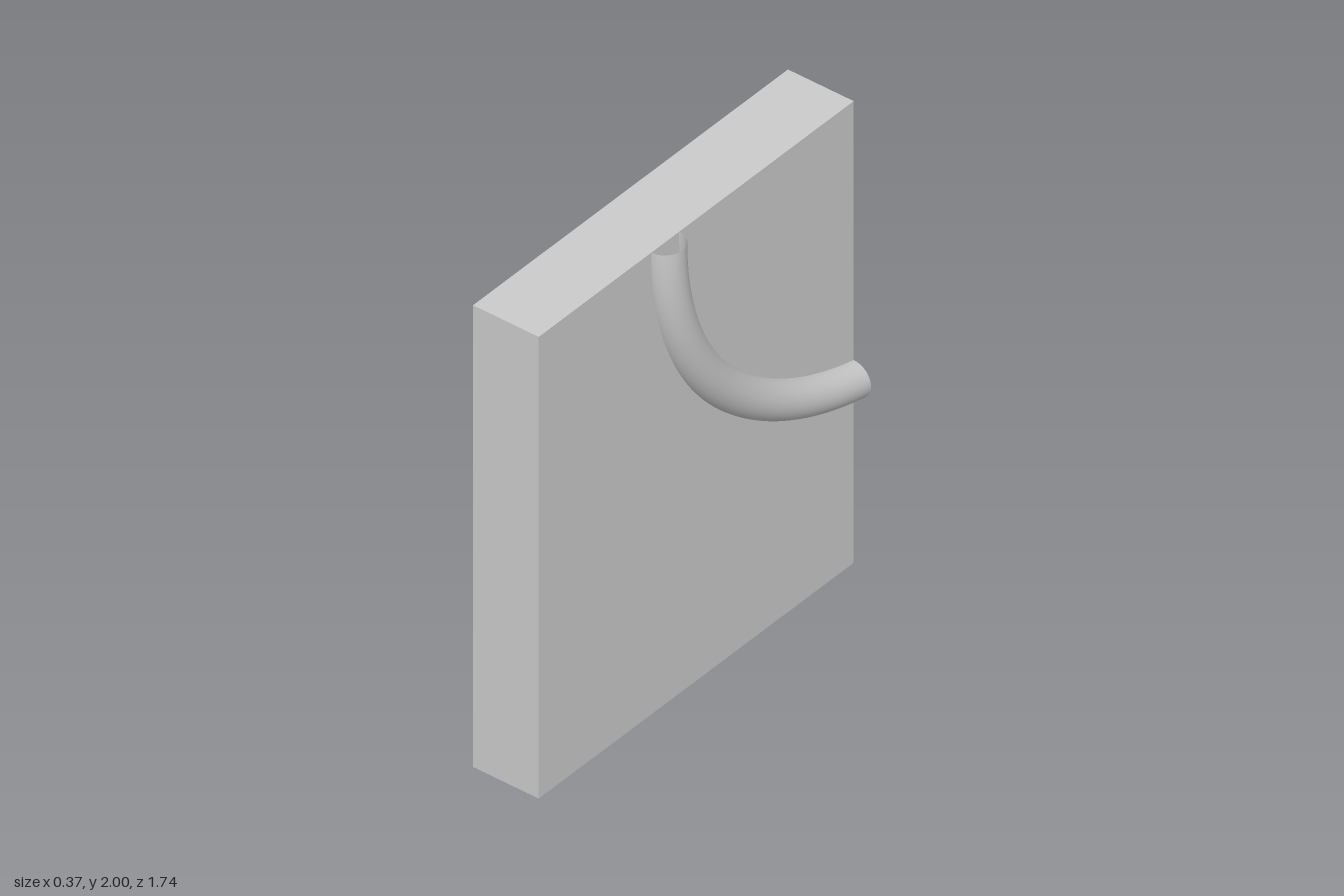
import * as THREE from 'three';

const material = new THREE.MeshStandardMaterial({ color: 0xcccccc, side: THREE.DoubleSide });

// Moves one ring of a tube along the path's tangent onto a plane, for a flush cut
function cutRing(tube, ring, sides, tangent, axis, value) {
  const pos = tube.attributes.position;
  const v = new THREE.Vector3();
  for (let i = 0; i <= sides; i++) {
    const k = ring * (sides + 1) + i;
    v.fromBufferAttribute(pos, k);
    v.addScaledVector(tangent, (value - v[axis]) / tangent[axis]);
    pos.setXYZ(k, v.x, v.y, v.z);
  }
}

export function createModel() {
  const model = new THREE.Group();
  model.name = 'panelWithPipe';

  // Upright slab
  const slab = new THREE.Mesh(new THREE.BoxGeometry(0.292, 2, 1.744), material);
  slab.name = 'slab';
  slab.position.set(-0.039, 1, 0);
  model.add(slab);

  // Open pipe, half sunk in the slab's side, bending from the top to the back edge
  const x = 0.107;
  const path = new THREE.CubicBezierCurve3(
    new THREE.Vector3(x, 2, 0.172),
    new THREE.Vector3(x, 1.35, 0.172),
    new THREE.Vector3(x, 0.92, -0.3),
    new THREE.Vector3(x, 0.8, -0.872)
  );
  const segments = 64, sides = 32;
  const tube = new THREE.TubeGeometry(path, segments, 0.077, sides, false);
  cutRing(tube, 0, sides, path.getTangent(0), 'y', 2);
  cutRing(tube, segments, sides, path.getTangent(1), 'z', -0.872);
  const pipe = new THREE.Mesh(tube, material);
  pipe.name = 'pipe';
  model.add(pipe);

  return model;
}
